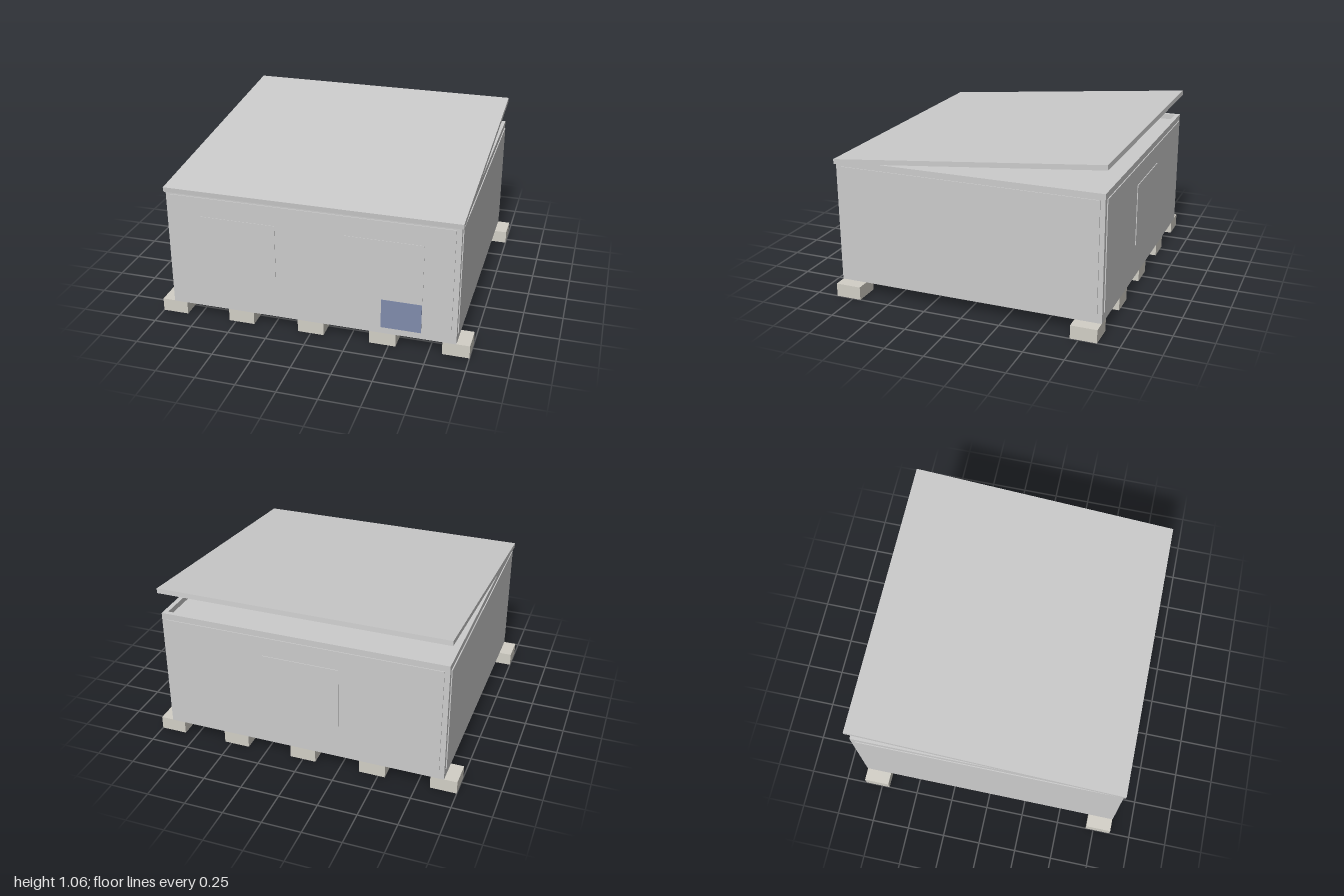
import * as THREE from 'three';

const grey = new THREE.MeshStandardMaterial({ color: 0xcccccc });
const block = new THREE.MeshStandardMaterial({ color: 0xd2cfc6 });
const wood = new THREE.MeshStandardMaterial({ color: 0xd2cab4 });
const blue = new THREE.MeshStandardMaterial({ color: 0x808cac });

export function createModel() {
  const model = new THREE.Group();
  model.name = 'liddedCrate';

  // Adds a box given by its minimum and maximum corners
  function box(name, [x0, y0, z0], [x1, y1, z1], material = grey) {
    const mesh = new THREE.Mesh(new THREE.BoxGeometry(x1 - x0, y1 - y0, z1 - z0), material);
    mesh.position.set((x0 + x1) / 2, (y0 + y1) / 2, (z0 + z1) / 2);
    mesh.name = name;
    model.add(mesh);
    return mesh;
  }

  const X = 0.917, Z = 0.865, bottom = 0.085, top = 0.885, rim = 0.03, skin = 0.006;

  // Feet: two rows of five blocks
  for (const z of [-0.78, 0.78]) {
    for (const x of [-0.916, -0.46, 0, 0.46, 0.916]) {
      box('footBlock', [x - 0.084, 0, z - 0.083], [x + 0.084, bottom, z + 0.083], block);
    }
  }

  // Floor: three boards running front to back
  for (const i of [-1, 0, 1]) {
    const x = i * 0.593;
    box('floorBoard', [x - 0.293, bottom - 0.003, -Z + rim], [x + 0.293, bottom + 0.02, Z - rim], wood);
  }

  // Body walls as one frame, extruded upward
  const outline = new THREE.Shape([
    new THREE.Vector2(-X, -Z), new THREE.Vector2(X, -Z),
    new THREE.Vector2(X, Z), new THREE.Vector2(-X, Z),
  ]);
  const a = X - rim, b = Z - rim;
  outline.holes.push(new THREE.Path([
    new THREE.Vector2(-a, -b), new THREE.Vector2(-a, b),
    new THREE.Vector2(a, b), new THREE.Vector2(a, -b),
  ]));
  const walls = new THREE.Mesh(
    new THREE.ExtrudeGeometry(outline, { depth: top - bottom, bevelEnabled: false }).rotateX(-Math.PI / 2),
    grey);
  walls.position.y = bottom;
  walls.name = 'walls';
  model.add(walls);

  // Filling, set slightly below the rim
  box('innerTop', [-a, bottom + 0.02, -b], [a, top - 0.035, b]);

  // Raised panels on the four sides
  for (const s of [-1, 1]) {
    box('endPanel', [-0.885, 0.145, s * Z - skin], [0.885, 0.845, s * Z + skin]);
    box('sidePanel', [s * X - skin, 0.145, -0.835], [s * X + skin, 0.845, 0.835]);
  }

  // Thin plates: two in front, one at the back
  const face = Z + skin;
  for (const x of [-0.46, 0.46]) {
    box('frontPlate', [x - 0.245, 0.32, face - 0.002], [x + 0.245, 0.72, face + 0.003]);
  }
  box('backPlate', [-0.245, 0.32, -face - 0.005], [0.245, 0.72, -face + 0.002]);
  box('colouredLabel', [0.452, 0.132, face - 0.003], [0.702, 0.325, face + 0.005], blue);

  // Lid, resting on the front edge and raised at the back
  const lid = box('lid', [-0.927, 0.943, -0.88], [0.927, 0.974, 0.88]);
  lid.rotation.x = Math.atan2(0.169, 1.75);

  return model;
}
